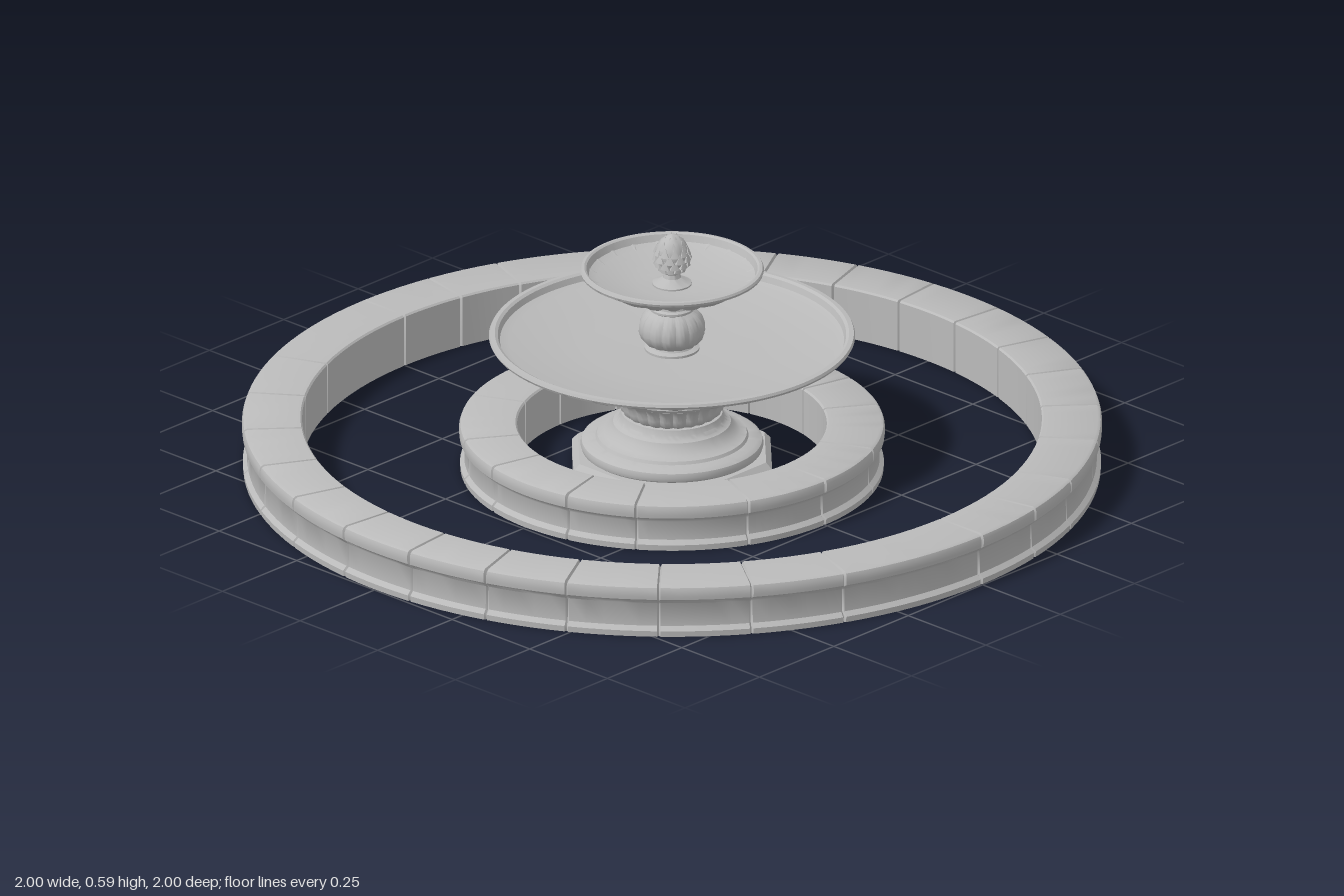
import * as THREE from 'three';
import { mergeGeometries, toCreasedNormals } from 'three/addons/utils/BufferGeometryUtils.js';

// Open-bottomed shells, so both sides show
const stone = new THREE.MeshStandardMaterial({ color: 0xbababa, side: THREE.DoubleSide });
stone.name = 'stone grey';

// Turned part. Points are [radius, height, groove depth]; flutes = number of lobes around.
function turned(points, { segments = 96, flutes = 0, crease = 0.6 } = {}) {
  if (flutes) segments = flutes * 8;
  const geo = new THREE.LatheGeometry(points.map(p => new THREE.Vector2(p[0], p[1])), segments);
  const pos = geo.attributes.position, nor = geo.attributes.normal, n = points.length;
  if (flutes) {
    for (let i = 0; i < pos.count; i++) {
      const phi = Math.floor(i / n) / segments * Math.PI * 2;
      const d = (points[i % n][2] || 0) * (1 - Math.abs(Math.sin(phi * flutes / 2)));
      pos.setXYZ(i, pos.getX(i) - nor.getX(i) * d, pos.getY(i) - nor.getY(i) * d, pos.getZ(i) - nor.getZ(i) * d);
    }
  }
  return toCreasedNormals(geo, crease);
}

// Kerb of stones, open below, with a small V joint between neighbours.
function kerb(outer, inner, h, halfSeams) {
  const profile = [
    [outer - 0.003, 0], [outer - 0.002, 0.014], [outer - 0.012, 0.024], [outer - 0.013, h - 0.046],
    [outer - 0.008, h - 0.038], [outer - 0.001, h - 0.033], [outer, h - 0.025], [outer, h - 0.012],
    [outer - 0.003, h - 0.004], [outer - 0.010, h], [inner + 0.004, h], [inner, h - 0.004], [inner, 0],
  ].map(p => new THREE.Vector2(p[0], p[1]));
  const n = profile.length, cx = (outer + inner) / 2;
  const seams = [...halfSeams, ...halfSeams.map(a => 360 - a).reverse()].map(a => a * Math.PI / 180);
  const bevel = 0.004 / outer;

  const stones = seams.map((start, s) => {
    const end = s + 1 < seams.length ? seams[s + 1] : seams[0] + Math.PI * 2;
    const body = Math.ceil((end - start) / 0.05), last = body + 2;
    const geo = new THREE.LatheGeometry(profile, last);
    const pos = geo.attributes.position;
    for (let i = 0; i < pos.count; i++) {
      const col = Math.floor(i / n), p = profile[i % n];
      const joint = col === 0 || col === last;
      const phi = col === 0 ? start : col === last ? end
        : start + bevel + (end - start - 2 * bevel) * (col - 1) / body;
      const r = joint ? cx + (p.x - cx) * 0.92 : p.x;
      pos.setXYZ(i, r * Math.sin(phi), joint ? p.y * 0.955 : p.y, r * Math.cos(phi));
    }
    return geo;
  });
  return toCreasedNormals(mergeGeometries(stones), 0.6);
}

export function createModel() {
  const model = new THREE.Group();
  model.name = 'tieredFountain';
  const add = (name, geo) => {
    const mesh = new THREE.Mesh(geo, stone);
    mesh.name = name;
    model.add(mesh);
    return mesh;
  };

  // Pool walls
  add('outerPoolWall', kerb(1, 0.86, 0.127,
    [6, 18, 29.5, 42, 54.5, 67.5, 90, 101.5, 112, 126, 138, 150.5, 162, 174]));
  add('innerPoolWall', kerb(0.495, 0.36, 0.115, [14, 34, 65, 90, 115, 146, 166]));

  // Eight-sided plinth, hollow underneath
  const plinth = add('plinth', turned([
    [0.225, 0.03], [0.225, 0], [0.25, 0], [0.25, 0.032], [0.235, 0.048], [0.17, 0.048],
  ], { segments: 8, crease: 0.1 }));
  plinth.rotation.y = Math.PI / 8;

  // Round mouldings above the plinth
  add('pedestalFoot', turned([
    [0.20, 0.045], [0.210, 0.052], [0.213, 0.062], [0.210, 0.072], [0.20, 0.079], [0.178, 0.081],
    [0.174, 0.088], [0.158, 0.094], [0.143, 0.106], [0.137, 0.118], [0.128, 0.122], [0.122, 0.130],
    [0.118, 0.143], [0.09, 0.147],
  ]));

  // Lobed drum and its spreading cap
  add('pedestalDrum', turned([
    [0.10, 0.140, 0], [0.110, 0.143, 0.003], [0.119, 0.151, 0.005], [0.123, 0.163, 0.006],
    [0.126, 0.176, 0.006], [0.134, 0.188, 0.006], [0.142, 0.196, 0.004], [0.140, 0.202, 0],
  ], { flutes: 24 }));
  add('pedestalCap', turned([
    [0.125, 0.196], [0.148, 0.200], [0.162, 0.207], [0.174, 0.211], [0.179, 0.218],
    [0.176, 0.226], [0.165, 0.230], [0.10, 0.231], [0.09, 0.236], [0.086, 0.244], [0.095, 0.253],
  ]));

  // Large bowl with petals underneath
  add('largeBowl', turned([
    [0.04, 0.246, 0], [0.09, 0.246, 0], [0.14, 0.250, 0.005], [0.21, 0.260, 0.008], [0.28, 0.275, 0.009],
    [0.34, 0.292, 0.009], [0.385, 0.308, 0.008], [0.408, 0.320, 0.005], [0.415, 0.325, 0],
    [0.423, 0.327, 0], [0.426, 0.333, 0], [0.423, 0.339, 0], [0.412, 0.340, 0], [0.405, 0.336, 0],
    [0.400, 0.322, 0], [0.38, 0.316, 0], [0.20, 0.304, 0], [0.04, 0.300, 0],
  ], { flutes: 28 }));

  // Lobed urn between the bowls
  add('urnFoot', turned([
    [0.064, 0.299], [0.064, 0.306], [0.052, 0.310], [0.048, 0.318], [0.055, 0.322],
  ], { segments: 48 }));
  add('urn', turned([
    [0.045, 0.312, 0], [0.062, 0.319, 0.002], [0.073, 0.331, 0.004], [0.078, 0.346, 0.004],
    [0.077, 0.364, 0.004], [0.071, 0.381, 0.004], [0.060, 0.394, 0.003], [0.044, 0.403, 0],
  ], { flutes: 14 }));
  add('urnNeck', turned([
    [0.046, 0.398], [0.052, 0.402], [0.052, 0.407], [0.046, 0.411], [0.045, 0.416],
    [0.050, 0.423], [0.056, 0.431], [0.056, 0.437],
  ], { segments: 48 }));

  // Small bowl with petals underneath
  add('smallBowl', turned([
    [0.02, 0.433, 0], [0.055, 0.433, 0], [0.09, 0.437, 0.005], [0.125, 0.447, 0.007], [0.158, 0.462, 0.008],
    [0.185, 0.478, 0.007], [0.200, 0.489, 0.004], [0.204, 0.493, 0], [0.212, 0.495, 0], [0.214, 0.501, 0],
    [0.211, 0.506, 0], [0.204, 0.507, 0], [0.199, 0.504, 0], [0.193, 0.488, 0], [0.175, 0.480, 0],
    [0.08, 0.466, 0], [0.02, 0.463, 0],
  ], { flutes: 20 }));

  // Finial: stem, cone body and rows of overlapping scales
  add('finialStem', turned([
    [0.046, 0.462], [0.046, 0.468], [0.034, 0.473], [0.021, 0.482], [0.018, 0.492],
    [0.026, 0.498], [0.028, 0.504], [0.015, 0.508],
  ], { segments: 32 }));
  add('finialCone', turned([
    [0.012, 0.500], [0.028, 0.507], [0.037, 0.521], [0.040, 0.540], [0.036, 0.559],
    [0.026, 0.575], [0.012, 0.586], [0.001, 0.590],
  ], { segments: 24 }));
  const scales = [];
  const rows = [[0.030, 0.512], [0.037, 0.525], [0.039, 0.540], [0.036, 0.554], [0.029, 0.567], [0.018, 0.578]];
  rows.forEach(([r, y], row) => {
    const count = row < 4 ? 10 : 7;
    for (let i = 0; i < count; i++) {
      const scale = new THREE.ConeGeometry(r * 0.36, 0.022, 6);
      scale.scale(1, 1, 0.6);
      scale.rotateX(0.25 - row * 0.12);
      scale.translate(0, y, r);
      scale.rotateY((i + (row % 2) / 2) / count * Math.PI * 2);
      scales.push(scale);
    }
  });
  add('finialScales', toCreasedNormals(mergeGeometries(scales), 0.9));

  return model;
}
